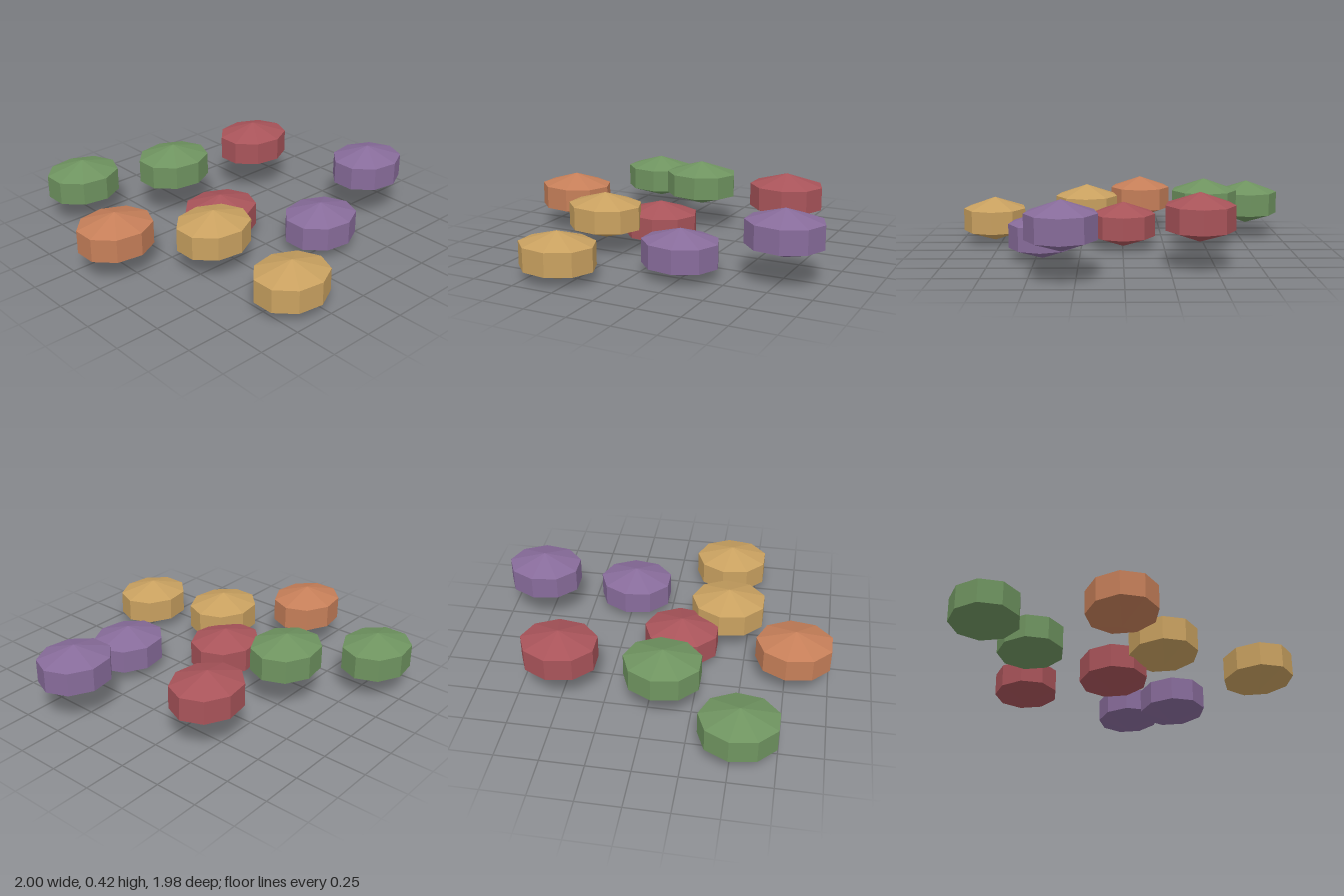
import * as THREE from 'three';

const mat = (name, color) => {
  const m = new THREE.MeshStandardMaterial({ color, flatShading: true });
  m.name = name;
  return m;
};

export function createModel() {
  const group = new THREE.Group();
  group.name = 'candyPile';

  const red = mat('red', 0xa9545a);
  const green = mat('green', 0x6f9460);
  const purple = mat('purple', 0x886c9b);
  const yellow = mat('yellow', 0xc9a160);
  const orange = mat('orange', 0xc67f59);

  // Squashed nine-sided pebble with a cone above and below a straight band
  const pebble = new THREE.SphereGeometry(1, 9, 3);
  pebble.rotateY(Math.PI);
  pebble.scale(0.256, 0.136, 0.223);

  // Name, material, centre x, y, z
  const pieces = [
    ['greenBack', green, -0.54, 0.213, -0.801],
    ['greenFront', green, -0.086, 0.283, -0.484],
    ['redBack', red, 0.513, 0.283, -0.412],
    ['redCentre', red, -0.127, 0.136, -0.004],
    ['orange', orange, -0.792, 0.211, -0.123],
    ['yellowMiddle', yellow, -0.378, 0.211, 0.222],
    ['yellowFront', yellow, -0.342, 0.137, 0.795],
    ['purpleFront', purple, 0.23, 0.137, 0.459],
    ['purpleSide', purple, 0.778, 0.283, 0.324],
  ];
  for (const [name, material, x, y, z] of pieces) {
    const mesh = new THREE.Mesh(pebble, material);
    mesh.name = name + 'Pebble';
    mesh.position.set(x, y, z);
    group.add(mesh);
  }
  return group;
}
